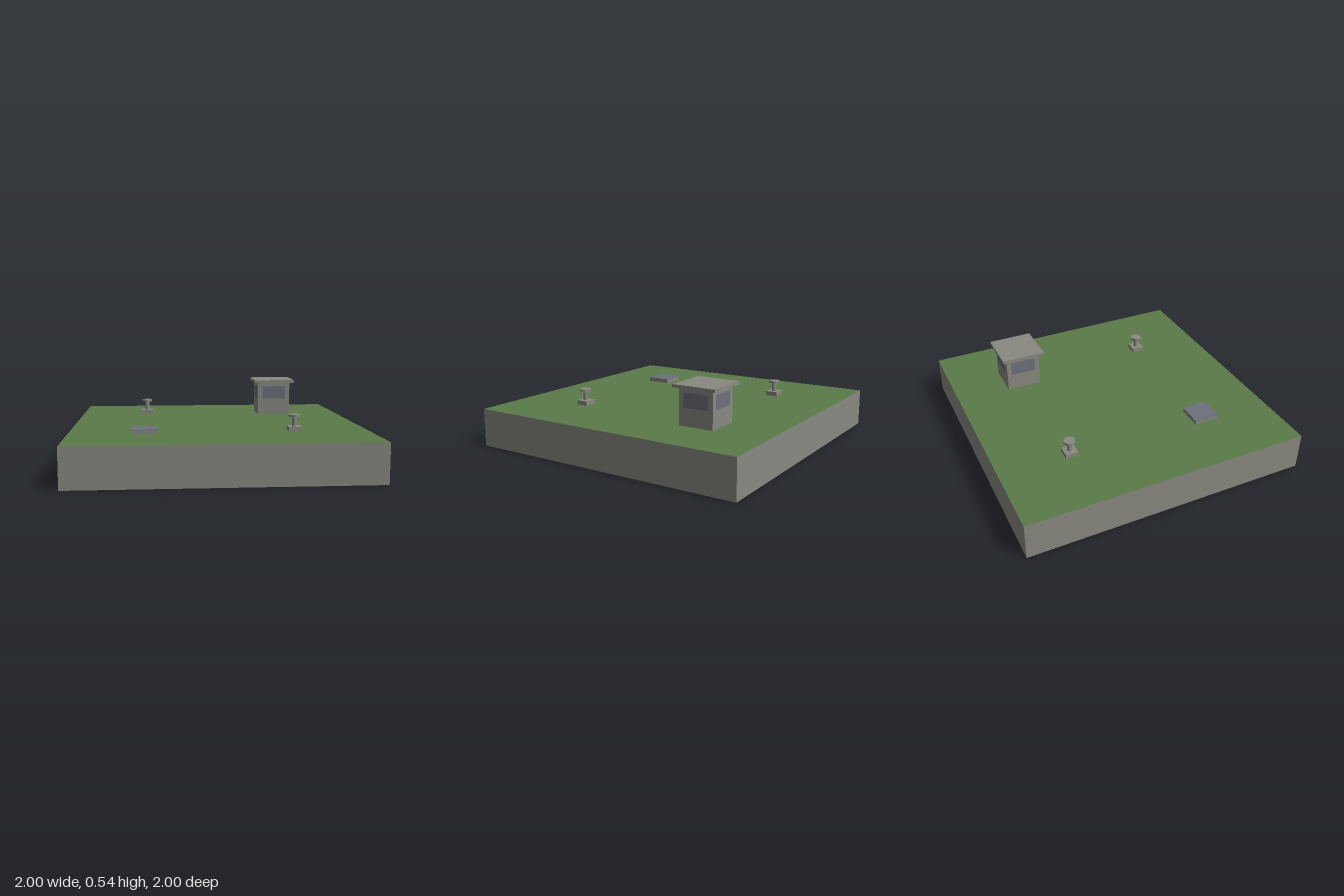
import * as THREE from 'three';

const makeMaterial = (name, color, extra = {}) => {
  const m = new THREE.MeshStandardMaterial({ color, ...extra });
  m.name = name;
  return m;
};

export function createModel() {
  const concrete = makeMaterial('concrete', 0x8a8a82, { side: THREE.DoubleSide });
  const grass = makeMaterial('grass', 0x5a7a48, { side: THREE.DoubleSide });
  const slate = makeMaterial('slate', 0x6c717b);

  const model = new THREE.Group();
  model.name = 'guardedPlot';
  const GROUND = 0.265;

  const add = (parent, name, geometry, material, x = 0, y = 0, z = 0) => {
    const mesh = new THREE.Mesh(geometry, material);
    mesh.name = name;
    mesh.position.set(x, y, z);
    parent.add(mesh);
    return mesh;
  };
  // Box standing on height y
  const block = (parent, name, w, h, y, material) =>
    add(parent, name, new THREE.BoxGeometry(w, h, w), material, 0, y + h / 2, 0);
  // Group placed on the lawn
  const place = (name, x, z) => {
    const g = new THREE.Group();
    g.name = name;
    g.position.set(x, GROUND, z);
    model.add(g);
    return g;
  };

  // Lawn and the four skirt walls, hollow underneath
  add(model, 'lawn', new THREE.PlaneGeometry(2, 2).rotateX(-Math.PI / 2), grass, 0, GROUND, 0);
  for (let i = 0; i < 4; i++) {
    const wall = new THREE.PlaneGeometry(2, GROUND).translate(0, GROUND / 2, 1);
    add(model, 'skirtWall', wall.rotateY(i * Math.PI / 2), concrete);
  }

  // Guard booth with overhanging roof and a window on each side
  const booth = place('guardBooth', 0.5, -0.5);
  block(booth, 'boothWalls', 0.248, 0.25, 0, concrete);
  block(booth, 'boothRoof', 0.31, 0.021, 0.249, concrete);
  for (let i = 0; i < 4; i++) {
    const pane = new THREE.BoxGeometry(0.178, 0.098, 0.004).translate(0, 0.171, 0.124);
    add(booth, 'boothWindow', pane.rotateY(i * Math.PI / 2), slate);
  }

  // Low hatch with a slate lid
  const hatch = place('hatch', -0.5, 0.5);
  block(hatch, 'hatchCurb', 0.174, 0.028, 0, concrete);
  block(hatch, 'hatchLid', 0.174, 0.003, 0.028, slate);

  // Vent posts: square foot, round stem and flat cap
  for (const [x, z] of [[-0.5, -0.5], [0.5, 0.5]]) {
    const vent = place('ventPost', x, z);
    block(vent, 'ventFoot', 0.086, 0.031, 0, concrete);
    add(vent, 'ventStem', new THREE.CylinderGeometry(0.016, 0.016, 0.066, 20), concrete, 0, 0.064, 0);
    add(vent, 'ventCap', new THREE.CylinderGeometry(0.039, 0.039, 0.014, 20), concrete, 0, 0.104, 0);
  }

  return model;
}
